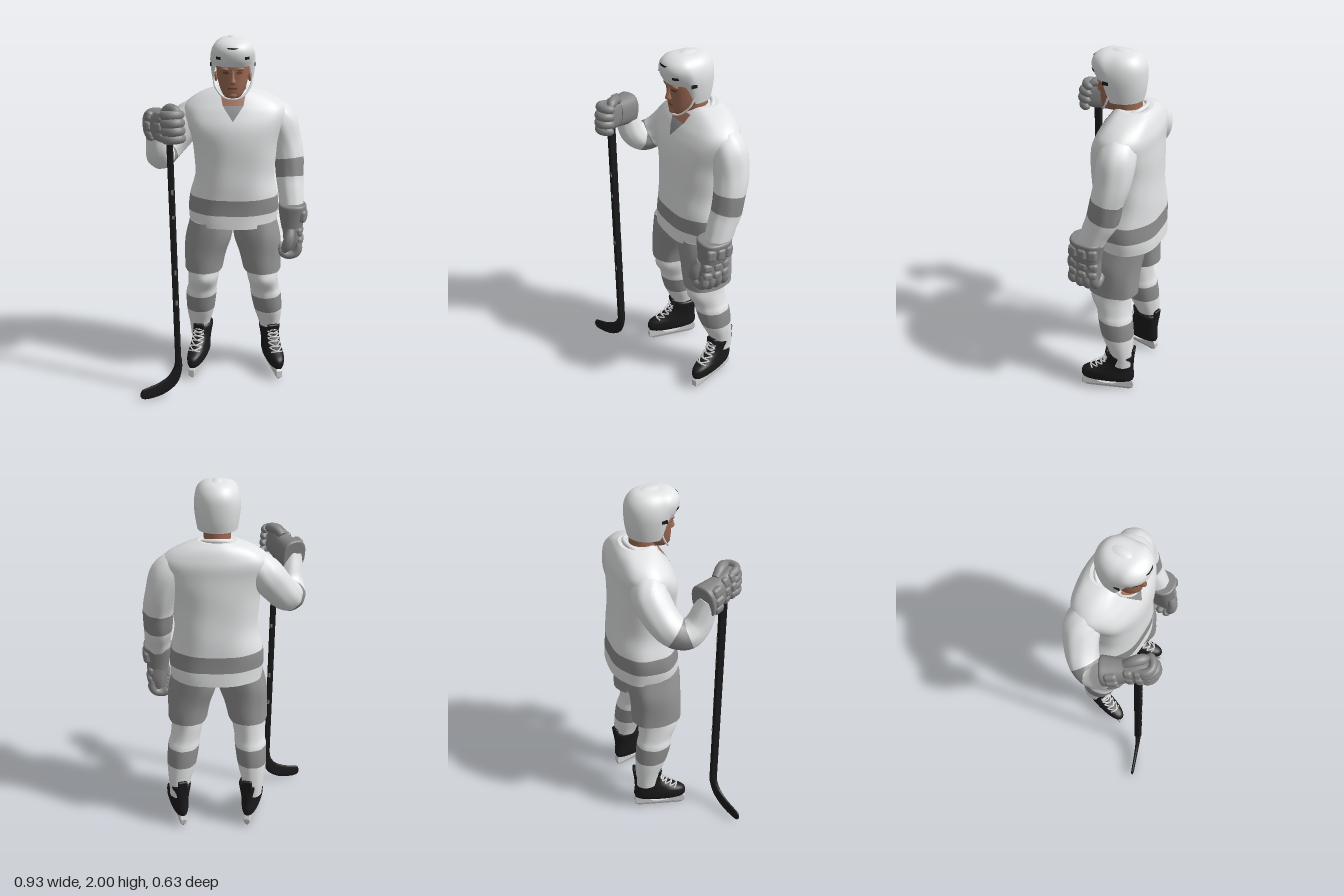
import * as THREE from 'three';
import { RoundedBoxGeometry } from 'three/addons/geometries/RoundedBoxGeometry.js';

const paint = (name, color) => Object.assign(new THREE.MeshStandardMaterial({ color, side: THREE.DoubleSide }), { name });
const white = paint('white cloth', 0xe2e3e4);
const grey = paint('stripe grey', 0x8d8d8d);
const shortsGrey = paint('shorts grey', 0x939393);
const gloveGrey = paint('glove grey', 0x858585);
const black = paint('black', 0x1b1b1d);
const skin = paint('skin', 0x9c6a54);
const skinDark = paint('dark skin', 0x6b4537);
const plastic = paint('light plastic', 0xd2d2d2);
const steel = paint('steel', 0xa9abad);

const V = (x, y, z) => new THREE.Vector3(x, y, z);
const cr = (a, b, c, d, t) => 0.5 * (2 * b + (c - a) * t + (2 * a - 5 * b + 4 * c - d) * t * t + (3 * b - a - 3 * c + d) * t * t * t);

function add(parent, name, geo, mat, pos = [0, 0, 0], rot = [0, 0, 0], scale = [1, 1, 1]) {
  const mesh = new THREE.Mesh(geo, mat);
  mesh.name = name;
  mesh.position.set(...pos);
  mesh.rotation.set(...rot);
  mesh.scale.set(...scale);
  parent.add(mesh);
  return mesh;
}

// Smooth skin over oval sections [x, y, z, rx, rz, material]; flat = level rings, listed bottom to top.
function loft(rows, { flat = true, ref = V(1, 0, 0), n = 2, seg = 32, step = 5, fold = 0, caps = true } = {}) {
  const pos = [], idx = [], rings = [], at = i => rows[Math.min(Math.max(i, 0), rows.length - 1)];
  for (let i = 0; i < rows.length - 1; i++) {
    for (let k = 0; k < step + (i === rows.length - 2 ? 1 : 0); k++) {
      const r = [0, 1, 2, 3, 4].map(c => cr(at(i - 1)[c], at(i)[c], at(i + 1)[c], at(i + 2)[c], k / step));
      rings.push({ c: V(r[0], r[1], r[2]), rx: Math.max(r[3], 0.001), rz: Math.max(r[4], 0.001), m: at(i)[5] || 0 });
    }
  }
  const last = rings.length - 1;
  const round = v => Math.sign(v) * Math.abs(v) ** (2 / n);
  rings.forEach((r, i) => {
    const t = flat ? V(0, 1, 0) : rings[Math.min(i + 1, last)].c.clone().sub(rings[Math.max(i - 1, 0)].c).normalize();
    const u = ref.clone().addScaledVector(t, -t.dot(ref)).normalize();
    const v = t.clone().cross(u);
    for (let j = 0; j < seg; j++) {
      const a = j / seg * Math.PI * 2;
      const f = 1 + fold * Math.sin(5 * a + 9 * r.c.y) * Math.cos(3 * a - 16 * r.c.y);
      const p = r.c.clone().addScaledVector(u, r.rx * f * round(Math.cos(a))).addScaledVector(v, r.rz * f * round(Math.sin(a)));
      pos.push(p.x, p.y, p.z);
    }
  });
  const geo = new THREE.BufferGeometry();
  for (let i = 0; i < last; i++) {
    geo.addGroup(idx.length, seg * 6, rings[i].m);
    for (let j = 0; j < seg; j++) {
      const a = i * seg + j, b = i * seg + (j + 1) % seg;
      idx.push(a, b, b + seg, a, b + seg, a + seg);
    }
  }
  if (caps) for (const [i, flip] of [[0, true], [last, false]]) {
    const base = pos.length / 3, c = rings[i].c;
    for (let k = 0; k < seg * 3; k++) pos.push(pos[i * seg * 3 + k]);
    pos.push(c.x, c.y, c.z);
    geo.addGroup(idx.length, seg * 3, rings[i].m);
    for (let j = 0; j < seg; j++) {
      const a = base + j, b = base + (j + 1) % seg;
      idx.push(base + seg, flip ? b : a, flip ? a : b);
    }
  }
  geo.setAttribute('position', new THREE.Float32BufferAttribute(pos, 3));
  geo.setIndex(idx);
  geo.computeVertexNormals();
  return geo;
}

// Thin patch laid on the front of a mesh: rows of width w0 (bottom) to w1 (top)
function drape(parent, name, target, mat, x, y0, y1, w0, w1, lift = 0.004) {
  const geo = new THREE.PlaneGeometry(1, 1, 8, 8), p = geo.attributes.position;
  const ray = new THREE.Raycaster();
  for (let i = 0; i < p.count; i++) {
    const t = p.getY(i) + 0.5, px = x + p.getX(i) * (w0 + (w1 - w0) * t), py = y0 + (y1 - y0) * t;
    ray.set(V(px, py, 2), V(0, 0, -1));
    const hit = ray.intersectObject(target)[0];
    p.setXYZ(i, px, py, (hit ? hit.point.z : 0) + lift);
  }
  geo.computeVertexNormals();
  add(parent, name, geo, mat);
}

const tube = (pts, r, n = 40) => new THREE.TubeGeometry(new THREE.CatmullRomCurve3(pts.map(p => V(...p))), n, r, 6);

// Glove: wrist at origin, hand along -y, back of the hand +x, thumb +z
function glove(name) {
  const g = new THREE.Group();
  g.name = name;
  add(g, 'cuff', loft([[0, -0.1, 0, 0.056, 0.078], [0, -0.05, 0, 0.066, 0.082], [0, 0, 0, 0.074, 0.088], [0, 0.035, 0, 0.078, 0.092], [0, 0.045, 0, 0.07, 0.084]], { n: 2.5 }), gloveGrey);
  add(g, 'palm', loft([[0, -0.21, 0, 0.04, 0.076], [0.005, -0.15, 0, 0.052, 0.084], [0, -0.07, 0, 0.054, 0.078]], { n: 2.6 }), gloveGrey);
  for (let i = 0; i < 4; i++) {
    const z = -0.063 + 0.042 * i, long = i === 0 || i === 3 ? 0.012 : 0;
    add(g, 'finger', loft([[0.03, -0.16, z, 0.02, 0.02], [0.034, -0.2, z, 0.026, 0.024], [0.015, -0.243 + long, z, 0.026, 0.023],
      [-0.025, -0.25 + long, z, 0.025, 0.023], [-0.055, -0.22, z, 0.022, 0.021], [-0.058, -0.2, z, 0.006, 0.006]], { flat: false, ref: V(0, 0, 1), seg: 14 }), gloveGrey);
  }
  // Padded rolls across the back of the hand and cuff
  for (const [x, y, h] of [[0.042, -0.105, 0.05], [0.046, -0.155, 0.046], [0.062, -0.015, 0.07]])
    for (let i = -1; i <= 1; i++)
      add(g, 'backPad', new RoundedBoxGeometry(0.045, h, 0.054, 3, 0.018), gloveGrey, [x - 0.008 * Math.abs(i), y, i * 0.053], [0, -i * 0.25, 0]);
  add(g, 'thumb', loft([[-0.01, -0.09, 0.07, 0.024, 0.024], [-0.02, -0.14, 0.092, 0.029, 0.027], [-0.035, -0.19, 0.085, 0.027, 0.026], [-0.05, -0.22, 0.065, 0.008, 0.008]], { flat: false, seg: 16 }), gloveGrey);
  return g;
}

// Skate: length along z, sole above a holder and blade
function skate() {
  const g = new THREE.Group();
  add(g, 'boot', loft([[0, 0.075, 0, 0.042, 0.148], [0, 0.1, 0, 0.05, 0.155], [0, 0.135, -0.005, 0.052, 0.148], [0, 0.165, -0.035, 0.05, 0.115],
    [0, 0.21, -0.068, 0.052, 0.084], [0, 0.265, -0.08, 0.06, 0.074], [0, 0.28, -0.08, 0.052, 0.066]], { n: 2.3 }), black);
  add(g, 'tendonGuard', new RoundedBoxGeometry(0.055, 0.08, 0.02, 3, 0.009), black, [0, 0.275, -0.147], [-0.12, 0, 0]);
  add(g, 'tongue', new RoundedBoxGeometry(0.066, 0.08, 0.022, 3, 0.01), black, [0, 0.258, -0.004], [0.15, 0, 0]);
  const lace = [];
  [[0.158, 0.105], [0.176, 0.075], [0.196, 0.047], [0.216, 0.03], [0.236, 0.021], [0.256, 0.017]].forEach(([y, z], i) => {
    const s = i % 2 ? 1 : -1;
    lace.push([s * 0.034, y, z - 0.018], [0, y + 0.01, z - 0.004]);
  });
  for (const s of [-1, 1]) add(g, 'lace', tube(lace.map(p => [s * p[0], p[1], p[2]]), 0.0045, 60), plastic);
  // Holder with an open middle
  const side = new THREE.Shape([[-0.135, 0.085], [0.125, 0.085], [0.147, 0.06], [0.148, 0.025], [-0.145, 0.025], [-0.15, 0.05]].map(p => new THREE.Vector2(...p)));
  const gap = new THREE.Path();
  gap.absellipse(0, 0.053, 0.06, 0.017, 0, Math.PI * 2, true);
  side.holes.push(gap);
  const holder = new THREE.ExtrudeGeometry(side, { depth: 0.028, bevelEnabled: true, bevelSize: 0.004, bevelThickness: 0.004, bevelSegments: 2 });
  add(g, 'bladeHolder', holder.translate(0, 0, -0.014).rotateY(-Math.PI / 2), plastic);
  const edge = new THREE.Shape([[-0.125, 0], [0.12, 0], [0.145, 0.012], [0.15, 0.03], [-0.15, 0.03], [-0.145, 0.01]].map(p => new THREE.Vector2(...p)));
  add(g, 'blade', new THREE.ExtrudeGeometry(edge, { depth: 0.012, bevelEnabled: false }).translate(0, 0, -0.006).rotateY(-Math.PI / 2), steel);
  return g;
}

export function createModel() {
  const model = new THREE.Group();
  model.name = 'hockeyPlayer';
  const cloth = [white, grey];

  // Jersey body with a hem stripe
  const jersey = add(model, 'jersey', loft([[0.055, 0.96, -0.117, 0.25, 0.19], [0.055, 1.035, -0.117, 0.253, 0.188, 1], [0.055, 1.125, -0.115, 0.247, 0.184],
    [0.06, 1.25, -0.11, 0.222, 0.18], [0.06, 1.4, -0.105, 0.232, 0.176], [0.06, 1.52, -0.108, 0.265, 0.17], [0.06, 1.6, -0.125, 0.28, 0.152],
    [0.057, 1.65, -0.135, 0.245, 0.128], [0.052, 1.69, -0.14, 0.175, 0.104], [0.05, 1.715, -0.138, 0.1, 0.082]], { n: 2.3, seg: 64, fold: 0.018 }), cloth);
  drape(model, 'collarInset', jersey, grey, 0.05, 1.565, 1.64, 0.004, 0.11);
  drape(model, 'necklineSkin', jersey, skin, 0.05, 1.638, 1.685, 0.11, 0.13, 0.003);
  add(model, 'collar', new THREE.TorusGeometry(0.088, 0.013, 10, 40), white, [0.05, 1.69, -0.115], [Math.PI / 2 + 0.4, 0, 0], [1, 0.95, 1]);

  // Sleeves
  add(model, 'leftSleeve', loft([[0.25, 1.57, -0.14, 0.09, 0.09], [0.305, 1.525, -0.142, 0.096, 0.098], [0.343, 1.42, -0.135, 0.086, 0.092], [0.362, 1.325, -0.115, 0.081, 0.086, 1],
    [0.368, 1.22, -0.095, 0.078, 0.084], [0.375, 1.14, -0.06, 0.072, 0.076], [0.38, 1.06, -0.03, 0.066, 0.07]], { flat: false, seg: 40, fold: 0.03 }), cloth);
  add(model, 'rightSleeve', loft([[-0.14, 1.57, -0.14, 0.088, 0.088], [-0.2, 1.525, -0.145, 0.096, 0.096], [-0.275, 1.435, -0.11, 0.088, 0.088], [-0.325, 1.38, -0.06, 0.083, 0.083, 1],
    [-0.343, 1.37, 0, 0.08, 0.08], [-0.345, 1.42, 0.055, 0.07, 0.07], [-0.35, 1.5, 0.085, 0.06, 0.06], [-0.355, 1.56, 0.105, 0.052, 0.052]], { flat: false, seg: 40, fold: 0.03 }), cloth);

  // Gloves: one hanging, one closed on the stick
  const left = glove('leftGlove');
  left.position.set(0.382, 1.045, -0.012);
  left.rotation.x = -0.06;
  model.add(left);
  const right = glove('rightGlove');
  const dir = V(0.46, 0.14, 0.87).normalize(), back = V(-0.87, 0, 0.46).normalize();
  const up = V(0, 1, 0).addScaledVector(dir, -dir.y).normalize();
  right.applyMatrix4(new THREE.Matrix4().makeBasis(back, dir.clone().negate(), up).scale(V(0.92, 0.92, 0.96)).setPosition(-0.345, 1.56, 0.1));
  model.add(right);

  // Stick
  const stick = new THREE.Group();
  stick.name = 'stick';
  model.add(stick);
  const shaft = add(stick, 'shaft', new RoundedBoxGeometry(0.032, 1.4, 0.04, 2, 0.008), black, [-0.263, 0.87, 0.22], [0, 0, 0.016]);
  for (const [y, h] of [[0.36, 0.03], [0.22, 0.02], [-0.1, 0.03], [-0.28, 0.03]])
    add(shaft, 'shaftMark', new THREE.BoxGeometry(0.012, h, 0.042), gloveGrey, [0.006, y, 0]);
  add(stick, 'stickBlade', loft([[-0.251, 0.24, 0.22, 0.019, 0.017], [-0.255, 0.175, 0.222, 0.017, 0.024], [-0.285, 0.105, 0.236, 0.013, 0.036], [-0.345, 0.062, 0.258, 0.01, 0.04],
    [-0.41, 0.044, 0.281, 0.009, 0.037], [-0.45, 0.04, 0.295, 0.008, 0.03], [-0.463, 0.04, 0.3, 0.004, 0.012]], { flat: false, ref: V(0.35, 0, 0.94), n: 2.6 }), black);

  // Legs, shorts and skates, mirrored about the hips
  for (const s of [-1, 1]) {
    const label = s > 0 ? 'left' : 'right';
    const place = rows => rows.map(([x, y, ...rest]) => [0.052 + s * x + 0.02 * Math.max(0, 1 - y / 0.65), y, ...rest]);
    add(model, label + 'Shorts', loft(place([[0.168, 0.68, -0.09, 0.11, 0.138], [0.156, 0.78, -0.09, 0.118, 0.142], [0.137, 0.88, -0.093, 0.132, 0.147], [0.122, 0.98, -0.1, 0.124, 0.15]]), { n: 2.3, seg: 48, fold: 0.025 }), shortsGrey);
    add(model, label + 'Sock', loft(place([[0.212, 0.2, -0.165, 0.054, 0.062], [0.21, 0.28, -0.16, 0.061, 0.07], [0.2, 0.395, -0.132, 0.083, 0.092, 1], [0.19, 0.5, -0.112, 0.089, 0.1],
      [0.182, 0.55, -0.1, 0.083, 0.1], [0.172, 0.62, -0.078, 0.087, 0.115], [0.168, 0.68, -0.08, 0.088, 0.11], [0.16, 0.76, -0.085, 0.09, 0.11]]), { seg: 40, fold: 0.02 }), cloth);
    const foot = skate();
    foot.name = label + 'Skate';
    foot.position.set(0.071 + s * 0.222, 0, -0.085);
    foot.rotation.y = s * 0.26;
    model.add(foot);
  }

  // Neck, head and face
  const head = new THREE.Group();
  head.name = 'head';
  model.add(head);
  const X = 0.048;
  add(head, 'neck', loft([[0.05, 1.6, -0.12, 0.078, 0.07], [0.05, 1.7, -0.098, 0.07, 0.072], [X, 1.8, -0.09, 0.07, 0.075]]), skin);
  const face = add(head, 'face', loft([[X, 1.682, -0.002, 0.022, 0.028], [X, 1.698, -0.01, 0.048, 0.053], [X, 1.735, -0.03, 0.068, 0.08], [X, 1.79, -0.047, 0.083, 0.1],
    [X, 1.85, -0.053, 0.089, 0.11], [X, 1.93, -0.055, 0.086, 0.11]], { n: 2.2, seg: 40 }), skin);
  add(head, 'nose', loft([[X, 1.763, 0.048, 0.012, 0.008], [X, 1.774, 0.054, 0.018, 0.021], [X, 1.8, 0.052, 0.012, 0.017], [X, 1.838, 0.05, 0.01, 0.009]], { seg: 16 }), skin);
  add(head, 'chin', new THREE.SphereGeometry(0.022, 16, 12), skin, [X, 1.703, 0.032], [0, 0, 0], [1.2, 0.8, 0.8]);
  drape(head, 'mouth', face, skinDark, X, 1.738, 1.746, 0.046, 0.05, 0.002);
  for (const s of [-1, 1]) {
    add(head, 'brow', new THREE.SphereGeometry(0.02, 16, 10), skin, [X + s * 0.035, 1.842, 0.044], [0, 0, s * 0.1], [1.4, 0.5, 0.7]);
    drape(head, 'eye', face, skinDark, X + s * 0.036, 1.817, 1.831, 0.026, 0.032, 0.002);
    add(head, 'ear', new THREE.SphereGeometry(0.024, 16, 12), skin, [X + s * 0.09, 1.79, -0.05], [0, 0, 0], [0.4, 1.1, 0.7]);
  }

  // Helmet: rim high over the face, low at the ears and nape
  const shell = loft([[X, 1.74, -0.055, 0.104, 0.12], [X, 1.8, -0.05, 0.114, 0.136], [X, 1.87, -0.048, 0.12, 0.142], [X, 1.925, -0.05, 0.112, 0.135],
    [X, 1.965, -0.052, 0.092, 0.112], [X, 1.99, -0.055, 0.058, 0.074], [X, 2, -0.055, 0.002, 0.002]], { n: 2.15, seg: 56, caps: false });
  const p = shell.attributes.position;
  for (let i = 0; i < p.count; i++) {
    const rim = 1.755 + 0.1 * THREE.MathUtils.smoothstep(p.getZ(i), -0.045, 0.02);
    p.setY(i, rim + (2 - rim) * (p.getY(i) - 1.74) / 0.26);
  }
  shell.computeVertexNormals();
  const helmet = add(head, 'helmet', shell, white);
  add(head, 'helmetCrest', new THREE.SphereGeometry(1, 32, 20), white, [X, 1.93, -0.055], [0, 0, 0], [0.062, 0.074, 0.11]);
  drape(head, 'frontVent', helmet, black, X, 1.95, 1.958, 0.04, 0.064);
  for (const s of [-1, 1]) {
    drape(head, 'sideVent', helmet, black, X + s * 0.075, 1.895, 1.91, 0.024, 0.024);
    add(head, 'earVent', new THREE.BoxGeometry(0.006, 0.018, 0.03), black, [X + s * 0.116, 1.86, -0.02]);
  }
  add(head, 'chinStrap', tube([[X - 0.105, 1.8, -0.035], [X - 0.092, 1.74, -0.01], [X - 0.045, 1.69, 0.025], [X, 1.682, 0.034], [X + 0.045, 1.69, 0.025], [X + 0.092, 1.74, -0.01], [X + 0.105, 1.8, -0.035]], 0.0055), white);
  return model;
}
